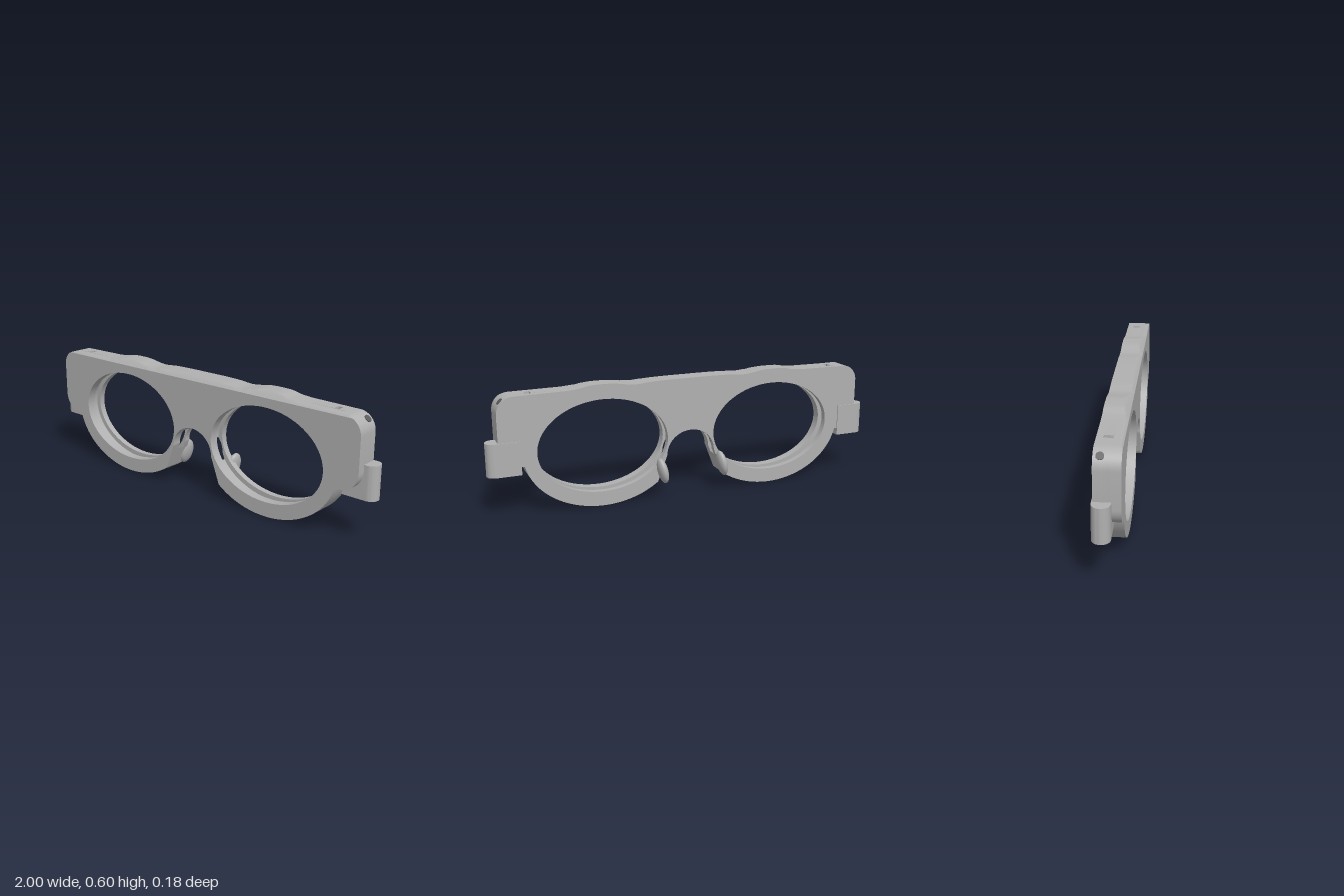
import * as THREE from 'three';
import { toCreasedNormals } from 'three/addons/utils/BufferGeometryUtils.js';

const LENS = { x: 0.445, y: 0.3, rx: 0.323, ry: 0.228 };
const GROOVE = 0.025; // how far the lens groove cuts beyond the opening

// Points along an elliptical arc
function arc(cx, cy, rx, ry, a0, a1, n) {
  return Array.from({ length: n + 1 }, (_, i) => {
    const a = a0 + ((a1 - a0) * i) / n;
    return new THREE.Vector2(cx + rx * Math.cos(a), cy + ry * Math.sin(a));
  });
}

// Half outline (+x side), clockwise from the top centre to the nose arch
function halfOutline(grooved) {
  const v = (x, y) => new THREE.Vector2(x, y);
  const brow = new THREE.SplineCurve([
    v(0, 0.592), v(0.1, 0.592), v(0.2, 0.59), v(0.28, 0.584), v(0.34, 0.59), v(0.39, 0.598),
    v(0.45, 0.6), v(0.51, 0.598), v(0.56, 0.588), v(0.62, 0.583),
  ]).getPoints(45);
  const pts = [...brow];
  if (grooved) pts.push(v(0.777, 0.582), v(0.777, 0.55), v(0.803, 0.55), v(0.803, 0.582));
  pts.push(...arc(0.865, 0.5, 0.08, 0.08, Math.PI / 2, 0, 12));
  pts.push(...arc(0.855, 0.335, 0.09, 0.09, 0, -Math.PI / 2, 12));
  pts.push(...arc(LENS.x, LENS.y, 0.39, 0.3, -0.184, -2.335, 48));

  // Nose side and arch
  const nose = [];
  for (let i = 1; i < 16; i++) nose.push(v(0.175 - (0.05 * i) / 16, 0.083 + (0.132 * i) / 16));
  nose.push(...arc(0, 0.215, 0.125, 0.115, 0, Math.PI / 2, 32));
  if (!grooved) return pts.concat(nose);

  // The groove breaks through the thin nose wall and leaves a slot
  const rx = LENS.rx + GROOVE, ry = LENS.ry + GROOVE;
  const inside = (p) => Math.hypot((p.x - LENS.x) / rx, (p.y - LENS.y) / ry) < 1.003;
  const first = nose.findIndex(inside);
  let last = first;
  while (inside(nose[last + 1])) last++;
  const angle = (p) => {
    const a = Math.atan2((p.y - LENS.y) / ry, (p.x - LENS.x) / rx);
    return a > 0 ? a - 2 * Math.PI : a;
  };
  return [
    ...pts, ...nose.slice(0, first),
    ...arc(LENS.x, LENS.y, rx, ry, angle(nose[first]), angle(nose[last]) + 2 * Math.PI, 72),
    ...nose.slice(last + 1),
  ];
}

// One slice of the frame between two depths
function frameLayer(z0, z1, grooved, steps) {
  const half = halfOutline(grooved);
  const other = half.slice(1, -1).reverse().map((p) => new THREE.Vector2(-p.x, p.y));
  const shape = new THREE.Shape([...half, ...other]);
  if (!grooved) {
    for (const s of [1, -1]) {
      const ring = arc(s * LENS.x, LENS.y, LENS.rx, LENS.ry, 0, 2 * Math.PI, 80).slice(0, -1);
      shape.holes.push(new THREE.Path(ring));
    }
  }
  const geo = new THREE.ExtrudeGeometry(shape, { depth: z1 - z0, bevelEnabled: false, steps });
  geo.translate(0, 0, z0);
  // Chamfer along the top front edge
  const pos = geo.attributes.position;
  for (let i = 0; i < pos.count; i++) {
    pos.setY(i, Math.min(pos.getY(i), 0.662 - pos.getZ(i)));
  }
  return toCreasedNormals(geo, 0.45);
}

// Hinge block, rounded at its outer end, drawn from above
function hingeGeometry() {
  const s = new THREE.Shape([
    new THREE.Vector2(0.843, -0.05),
    ...arc(0.96, -0.01, 0.04, 0.04, -Math.PI / 2, Math.PI / 2, 20),
    new THREE.Vector2(0.843, 0.03),
  ]);
  const geo = new THREE.ExtrudeGeometry(s, { depth: 0.16, bevelEnabled: false });
  geo.rotateX(-Math.PI / 2);
  geo.translate(0, 0.208, 0);
  return toCreasedNormals(geo, 0.5);
}

export function createModel() {
  const group = new THREE.Group();
  const grey = new THREE.MeshStandardMaterial({ color: 0xb0b0b0 });
  grey.name = 'frame grey';
  const dark = new THREE.MeshStandardMaterial({ color: 0x5c5c5c });
  dark.name = 'hole grey';
  const add = (name, geo, mat) => {
    const mesh = new THREE.Mesh(geo, mat);
    mesh.name = name;
    group.add(mesh);
    return mesh;
  };

  // Frame: two lips with the lens groove between them
  add('frameBack', frameLayer(-0.025, 0.005, false, 1), grey);
  add('frameGroove', frameLayer(0.005, 0.045, true, 1), grey);
  add('frameFront', frameLayer(0.045, 0.09, false, 6), grey);

  for (const s of [1, -1]) {
    const side = s > 0 ? 'left' : 'right';

    // Hinge blocks at both ends
    const hinge = add(side + 'Hinge', hingeGeometry(), grey);
    if (s < 0) {
      hinge.rotation.z = Math.PI; // turned end for end, the block is symmetric in height
      hinge.position.y = 2 * 0.208 + 0.16;
    }

    // Small bore on each upper corner
    const bore = add(side + 'Bore', new THREE.CylinderGeometry(0.017, 0.017, 0.004, 24), dark);
    bore.position.set(s * 0.922, 0.557, 0.004);
    bore.rotation.z = (-s * Math.PI) / 4;

    // Nose pads, both tilted the same way
    const pad = add(side + 'NosePad', new THREE.SphereGeometry(1, 32, 24), grey);
    pad.scale.set(0.024, 0.066, 0.045);
    pad.position.set(s > 0 ? 0.157 : -0.162, 0.142, -0.043);
    pad.rotation.z = -0.22;
  }
  return group;
}
